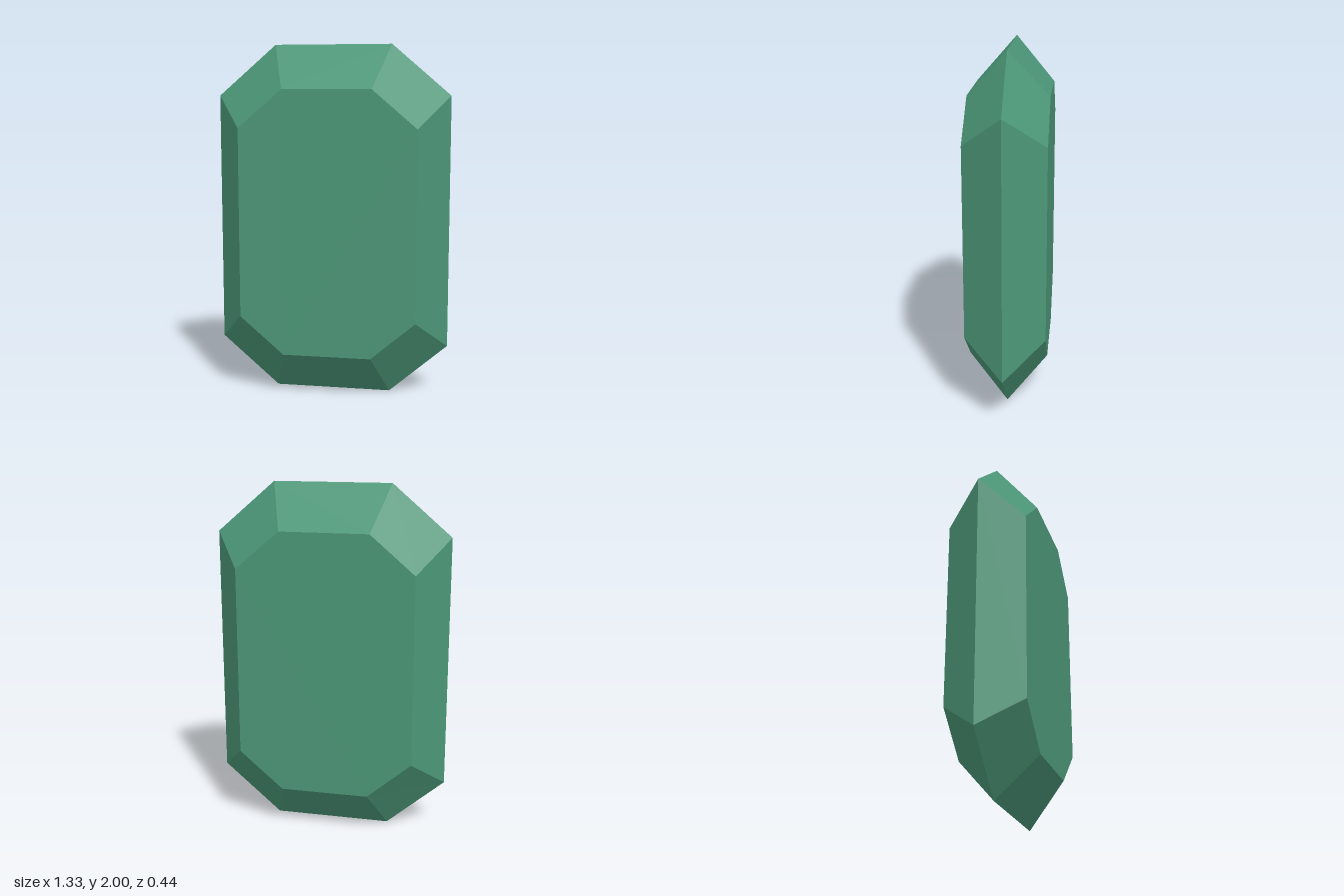
import * as THREE from 'three';

// Eight-sided outline, counter-clockwise seen from +z, mirrored about the middle height y = 1
function octagon(shortX, longX, shortY, longY, z) {
  return [
    [-shortX, -longY], [shortX, -longY], [longX, -shortY], [longX, shortY],
    [shortX, longY], [-shortX, longY], [-longX, shortY], [-longX, -shortY],
  ].map(([x, y]) => new THREE.Vector3(x, 1 + y, z));
}

// Flat-faced geometry from triangles of points
function facets(triangles) {
  const geometry = new THREE.BufferGeometry().setFromPoints(triangles.flat());
  geometry.computeVertexNormals();
  return geometry;
}

export function createModel() {
  const group = new THREE.Group();
  group.name = 'cutGem';
  const gemGreen = new THREE.MeshStandardMaterial({ color: 0x4c9778 });
  gemGreen.name = 'gem green';

  const girdle = octagon(0.333, 0.666, 0.714, 1, 0);

  for (const side of [1, -1]) {
    const table = octagon(0.25, 0.5, 0.536, 0.75, 0.222 * side);
    // Reverse the corners on the back so faces point outwards
    const facing = (a, b, c) => (side > 0 ? [a, b, c] : [a, c, b]);
    const bevel = [];
    const flat = [];
    for (let i = 0; i < 8; i++) {
      const j = (i + 1) % 8;
      bevel.push(facing(girdle[i], girdle[j], table[j]), facing(girdle[i], table[j], table[i]));
      if (i > 0 && i < 7) flat.push(facing(table[0], table[i], table[i + 1]));
    }
    const prefix = side > 0 ? 'front' : 'back';

    // Sloping facets from the girdle to the table
    const bevelMesh = new THREE.Mesh(facets(bevel), gemGreen);
    bevelMesh.name = prefix + 'Bevel';

    // Flat table face
    const tableMesh = new THREE.Mesh(facets(flat), gemGreen);
    tableMesh.name = prefix + 'Table';
    group.add(bevelMesh, tableMesh);
  }
  return group;
}
